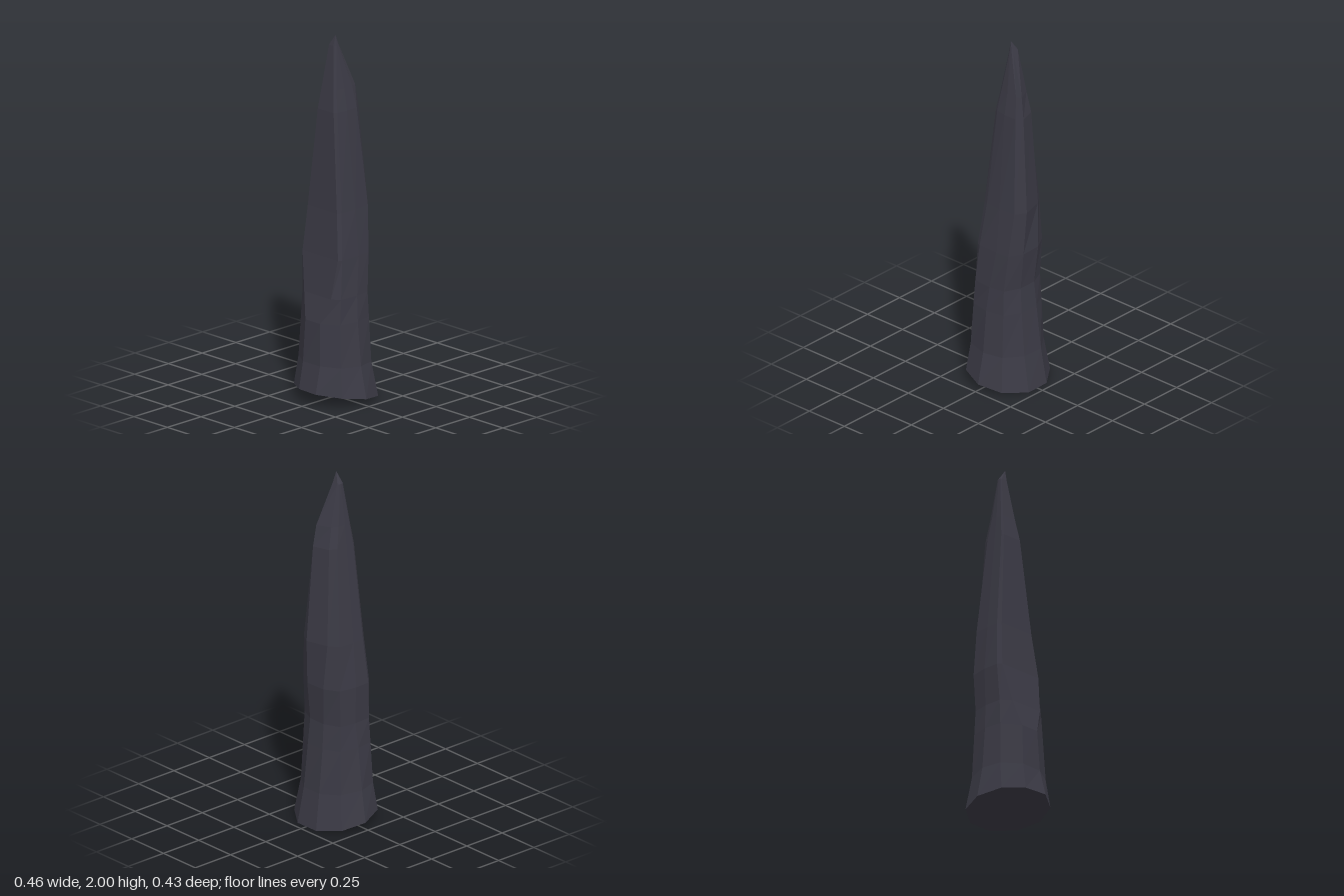
import * as THREE from 'three';

// Each ring runs left, front-left, front, front-right, right, back-right, back, back-left as [x, z].
const footRings = [
  { y: 0.036, tilt: 0.165, pts: [[-0.23, 0], [-0.18, 0.132], [-0.07, 0.202], [0.065, 0.212], [0.182, 0.13], [0.23, 0], [0.187, -0.13], [0.068, -0.213], [-0.075, -0.211], [-0.19, -0.13]] },
  { y: 0.21, tilt: 0.05, pts: [[-0.197, 0.005], [-0.167, 0.11], [-0.065, 0.178], [0.06, 0.175], [0.158, 0.118], [0.19, 0], [0.158, -0.108], [0.06, -0.176], [-0.065, -0.18], [-0.16, -0.112]] },
  { y: 0.45, tilt: 0, pts: [[-0.173, 0], [-0.158, 0.1], [-0.06, 0.165], [0.05, 0.165], [0.145, 0.11], [0.166, 0], [0.145, -0.103], [0.055, -0.152], [-0.06, -0.152], [-0.15, -0.105]] },
];
const waist = { y: 0.59, tilt: 0, pts: [[-0.16, -0.01], [-0.155, 0.092], [-0.1, 0.134], [0.1, 0.134], [0.142, 0.1], [0.151, -0.01], [0.138, -0.1], [0.05, -0.14], [-0.055, -0.14], [-0.145, -0.1]] };
const bladeRings = [
  { y: 0.8, tilt: 0, pts: [[-0.167, -0.01], [-0.163, 0.08], [-0.145, 0.102], [0.12, 0.102], [0.13, 0.08], [0.132, -0.04], [0.125, -0.12], [0.05, -0.16], [-0.07, -0.155], [-0.15, -0.11]] },
  { y: 1.05, tilt: 0, pts: [[-0.145, -0.01], [-0.143, 0.06], [-0.128, 0.08], [0.09, 0.08], [0.1, 0.055], [0.107, -0.04], [0.1, -0.14], [0.04, -0.175], [-0.085, -0.14], [-0.138, -0.1]] },
  { y: 1.59, tilt: 0, pts: [[-0.091, -0.01], [-0.09, 0.038], [-0.083, 0.05], [0.035, 0.05], [0.045, 0.032], [0.055, -0.03], [0.052, -0.105], [0.028, -0.14], [-0.065, -0.11], [-0.087, -0.07]] },
  { y: 1.71, tilt: 0, pts: [[-0.079, -0.01], [-0.078, 0.023], [-0.072, 0.032], [0.016, 0.032], [0.025, 0.02], [0.034, -0.03], [0.032, -0.09], [0.022, -0.122], [-0.055, -0.085], [-0.074, -0.05]] },
  { y: 1.94, tilt: 0, pts: [[-0.055, -0.018], [-0.054, -0.006], [-0.05, 0.001], [-0.016, 0.001], [-0.009, -0.004], [-0.004, -0.012], [-0.004, -0.026], [-0.01, -0.034], [-0.045, -0.033], [-0.052, -0.028]] },
];

// Skin a stack of rings, optionally closed by a flat base or a point
function loft(rings, { base, tip } = {}) {
  const n = rings[0].pts.length, pos = [], index = [];
  for (const { y, tilt, pts } of rings) for (const [x, z] of pts) pos.push(x, y + tilt * z, z);
  for (let r = 0; r < rings.length - 1; r++) {
    for (let i = 0; i < n; i++) {
      const a = r * n + i, b = r * n + (i + 1) % n;
      index.push(a, b, b + n, a, b + n, a + n);
    }
  }
  const cap = (point, start, down) => {
    const c = pos.length / 3;
    pos.push(...point);
    for (let i = 0; i < n; i++) {
      const a = start + i, b = start + (i + 1) % n;
      index.push(c, down ? b : a, down ? a : b);
    }
  };
  if (base) cap(base, 0, true);
  if (tip) cap(tip, (rings.length - 1) * n, false);
  const g = new THREE.BufferGeometry();
  g.setAttribute('position', new THREE.Float32BufferAttribute(pos, 3));
  g.setIndex(index);
  const flat = g.toNonIndexed();
  flat.computeVertexNormals();
  return flat;
}

export function createModel() {
  const group = new THREE.Group();
  group.name = 'rockSpike';
  const stone = new THREE.MeshStandardMaterial({ color: 0x3b3a45, flatShading: true });
  stone.name = 'darkStone';

  // Flared foot with a slanted underside
  const foot = new THREE.Mesh(loft([...footRings, waist], { base: [0, 0.036, 0] }), stone);
  foot.name = 'foot';

  // Faceted shaft tapering to an off-centre point
  const shaft = new THREE.Mesh(loft([waist, ...bladeRings], { tip: [-0.013, 2, -0.012] }), stone);
  shaft.name = 'shaft';

  group.add(foot, shaft);
  return group;
}
